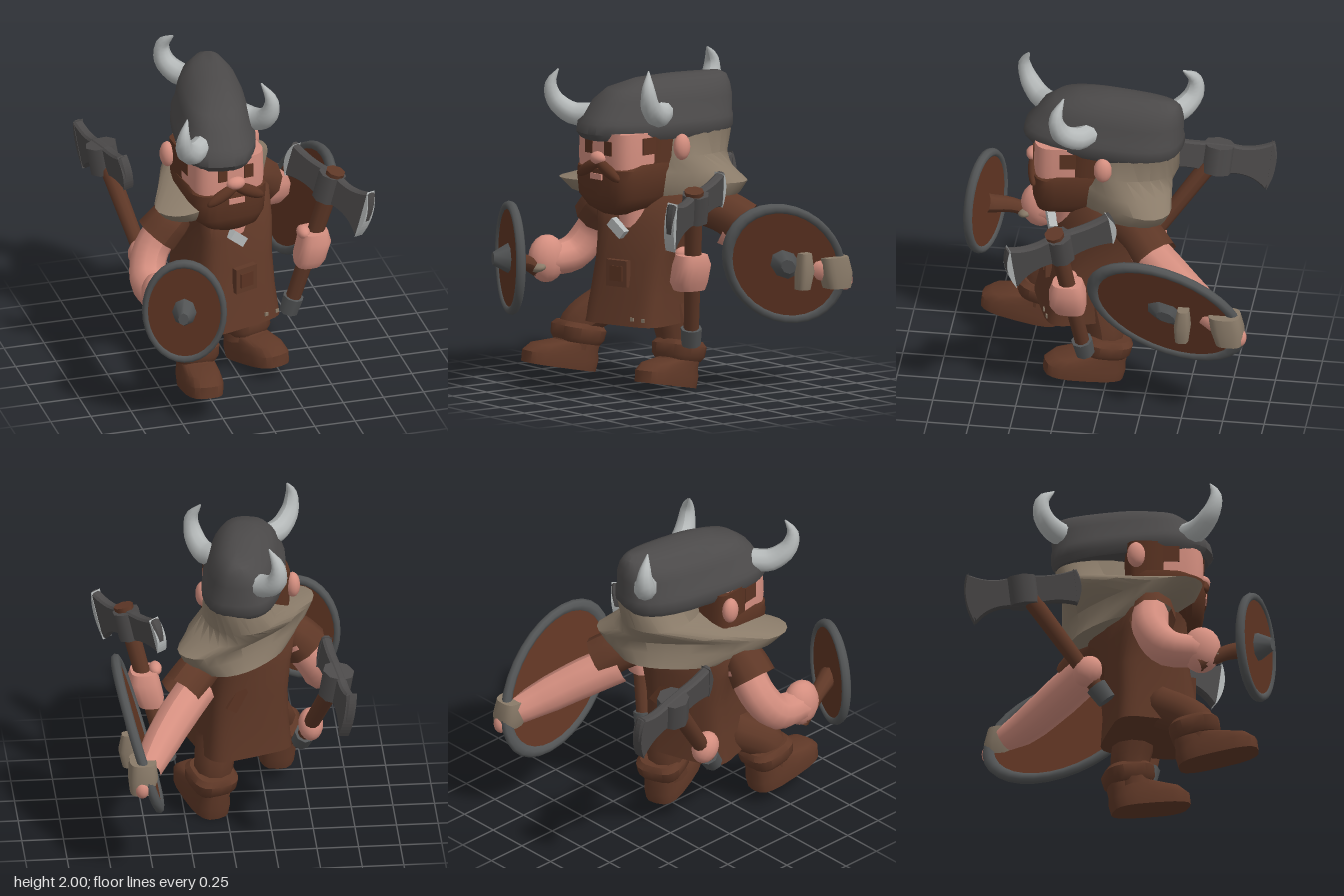
import * as THREE from 'three';
import { toCreasedNormals } from 'three/addons/utils/BufferGeometryUtils.js';

const V = (a) => new THREE.Vector3(...a);

export function createModel() {
  const model = new THREE.Group();
  const paint = (name, color) => {
    const m = new THREE.MeshStandardMaterial({ color });
    m.name = name;
    return m;
  };
  const leather = paint('leather', 0x5f3827);
  leather.side = THREE.DoubleSide;
  const hair = paint('hair', 0x5a3322);
  const skin = paint('skin', 0xd58f80);
  const iron = paint('dark iron', 0x4c4a4a);
  const rimGrey = paint('rim grey', 0x525455);
  const steel = paint('steel', 0xb4b8b8);
  const cloth = paint('cloth', 0x8a7b69);
  const wood = paint('shield wood', 0x5e3422);

  const add = (parent, name, geo, mat, pos = [0, 0, 0], rot = [0, 0, 0], scale = [1, 1, 1]) => {
    const m = new THREE.Mesh(geo, mat);
    m.name = name;
    m.position.set(...pos);
    m.rotation.set(...rot);
    m.scale.set(...scale);
    parent.add(m);
  };
  const group = (parent, name, pos = [0, 0, 0], rot = [0, 0, 0]) => {
    const g = new THREE.Group();
    g.name = name;
    g.position.set(...pos);
    g.rotation.set(...rot);
    parent.add(g);
    return g;
  };
  // Aim a group's x and y axes
  const aim = (g, x, y) => {
    const X = V(x).normalize(), Z = X.clone().cross(V(y)).normalize(), Y = Z.clone().cross(X);
    g.setRotationFromMatrix(new THREE.Matrix4().makeBasis(X, Y, Z));
  };
  // Skin over rings [y, x, z, rx, rz, yaw], bottom to top; p sets how square they are
  const loft = (rings, p = 2.5, n = 20) => {
    const pos = [], idx = [];
    const pw = (v) => Math.sign(v) * Math.abs(v) ** (2 / p);
    for (const [y, x, z, rx, rz, yaw = 0] of rings) {
      for (let i = 0; i < n; i++) {
        const a = (i / n) * Math.PI * 2, u = rx * pw(Math.cos(a)), w = rz * pw(Math.sin(a));
        pos.push(x + u * Math.cos(yaw) + w * Math.sin(yaw), y, z - u * Math.sin(yaw) + w * Math.cos(yaw));
      }
    }
    const last = rings.length - 1, c = pos.length / 3;
    pos.push(rings[0][1], rings[0][0], rings[0][2], rings[last][1], rings[last][0], rings[last][2]);
    for (let i = 0; i < n; i++) {
      const j = (i + 1) % n;
      for (let r = 0; r < last; r++) {
        const a = r * n + i, b = r * n + j;
        idx.push(b, a, a + n, b, a + n, b + n);
      }
      idx.push(c, i, j, c + 1, last * n + j, last * n + i);
    }
    const g = new THREE.BufferGeometry();
    g.setAttribute('position', new THREE.Float32BufferAttribute(pos, 3));
    // Cap centres take the ring's own x, y, z
    g.attributes.position.setXYZ(c, rings[0][1], rings[0][0], rings[0][2]);
    g.attributes.position.setXYZ(c + 1, rings[last][1], rings[last][0], rings[last][2]);
    g.setIndex(idx);
    return toCreasedNormals(g, 0.8);
  };
  // Tube along points with a radius that changes from end to end
  const taper = (pts, radii, seg = 12, sides = 10) => {
    const curve = new THREE.CatmullRomCurve3(pts.map(V));
    const g = new THREE.TubeGeometry(curve, seg, 1, sides);
    const p = g.attributes.position, v = new THREE.Vector3();
    for (let k = 0; k < p.count; k++) {
      const t = Math.floor(k / (sides + 1)) / seg, f = t * (radii.length - 1);
      const i = Math.min(Math.floor(f), radii.length - 2);
      const c = curve.getPointAt(t);
      v.fromBufferAttribute(p, k).sub(c).multiplyScalar(THREE.MathUtils.lerp(radii[i], radii[i + 1], f - i)).add(c);
      p.setXYZ(k, v.x, v.y, v.z);
    }
    g.computeVertexNormals();
    return g;
  };
  const ball = new THREE.SphereGeometry(1, 14, 10);
  const box = (x, y, z) => new THREE.BoxGeometry(x, y, z);

  // Tunic and its front details
  add(model, 'tunic', loft([
    [0.42, -0.08, 0.165, 0.28, 0.275, 0.33], [0.6, -0.08, 0.15, 0.265, 0.25, 0.33],
    [0.8, -0.08, 0.125, 0.26, 0.235, 0.36], [1.0, -0.08, 0.1, 0.28, 0.225, 0.5],
    [1.14, -0.09, 0.07, 0.33, 0.2, 0.65], [1.22, -0.1, 0.05, 0.26, 0.15, 0.7]], 5, 28), leather);
  const front = group(model, 'tunicFront', [-0.08, 0, 0.13], [0, 0.35, 0]);
  add(front, 'buckle', box(0.15, 0.16, 0.04), leather, [-0.02, 0.73, 0.265]);
  add(front, 'buckleCentre', box(0.09, 0.09, 0.01), hair, [-0.02, 0.73, 0.287]);
  add(front, 'brooch', box(0.12, 0.06, 0.05), steel, [-0.05, 0.995, 0.225], [0, 0, -0.7]);
  for (const x of [0.11, 0.19]) add(front, 'hemStud', box(0.022, 0.022, 0.008), cloth, [x, 0.465, 0.307]);
  add(front, 'strap', box(0.08, 0.5, 0.02), hair, [0.02, 0.98, -0.23], [0, 0.12, 0.6]);
  add(model, 'neck', loft([[1.0, -0.06, 0.2, 0.1, 0.13], [1.25, -0.08, 0.2, 0.14, 0.14]]), skin);

  // Cape with a point over each shoulder
  add(model, 'cape', loft([
    [1.1, -0.08, -0.04, 0.34, 0.2, 0.8], [1.19, -0.11, 0.04, 0.51, 0.21, 0.8],
    [1.26, -0.12, 0.05, 0.57, 0.21, 0.8], [1.33, -0.09, -0.05, 0.38, 0.25, 0.75],
    [1.42, -0.06, -0.15, 0.21, 0.26, 0.2], [1.6, -0.03, -0.16, 0.18, 0.26, -0.1]], 2.3, 28), cloth);

  // Head and face
  const head = group(model, 'head', [-0.13, 0, 0.24], [0, 0.13, 0]);
  add(head, 'face', loft([[1.3, 0, 0, 0.225, 0.225], [1.42, 0, 0, 0.235, 0.235], [1.58, 0, 0, 0.23, 0.23]], 4.5, 28), skin);
  add(head, 'backHair', loft([[1.22, 0, -0.1, 0.235, 0.13], [1.58, 0, -0.1, 0.243, 0.14]], 5), hair);
  add(head, 'beard', loft([
    [1.08, 0.03, 0.08, 0.08, 0.09], [1.12, 0.02, 0.05, 0.17, 0.17], [1.19, 0, 0.01, 0.24, 0.23],
    [1.3, 0, 0, 0.25, 0.25], [1.36, 0, 0, 0.25, 0.245], [1.39, 0, -0.03, 0.24, 0.2]], 3.8, 28), hair);
  add(head, 'mouth', box(0.1, 0.035, 0.009), skin, [0.01, 1.315, 0.254]);
  add(head, 'nose', ball, skin, [0.01, 1.425, 0.235], [0, 0, 0], [0.06, 0.04, 0.045]);
  for (const s of [-1, 1]) {
    add(head, 'moustache', ball, hair, [0.01 + s * 0.08, 1.36, 0.235], [0, 0, -s * 0.5], [0.12, 0.038, 0.034]);
    add(head, 'eye', box(0.06, 0.085, 0.008), hair, [0.01 + s * 0.085, 1.49, 0.235]);
    add(head, 'sideburn', box(0.008, 0.1, 0.1), hair, [s * 0.236, 1.5, 0.03]);
    add(head, 'ear', ball, skin, [0.02 + s * 0.275, 1.48, -0.18], [0, 0, 0], [0.045, 0.08, 0.055]);
  }

  // Long cap helmet with three horns
  const helmet = group(model, 'helmet', [-0.1, 0, 0], [0, -0.17, 0]);
  add(helmet, 'helmetShell', loft([
    [1.53, 0, 0.05, 0.225, 0.46], [1.57, 0, 0.05, 0.245, 0.49], [1.63, 0, 0.045, 0.242, 0.485],
    [1.66, 0, 0.03, 0.222, 0.465], [1.75, 0, 0.0, 0.2, 0.44], [1.82, 0, -0.04, 0.165, 0.39],
    [1.87, 0.01, -0.11, 0.1, 0.3], [1.89, 0.02, -0.18, 0.045, 0.19]], 2.7, 28), iron);
  const horn = (pts) => add(model, 'horn', taper(pts, [0.068, 0.07, 0.06, 0.04, 0.004], 14), steel);
  horn([[-0.27, 1.66, 0.38], [-0.36, 1.66, 0.47], [-0.43, 1.74, 0.55], [-0.44, 1.84, 0.575], [-0.41, 1.93, 0.54]]);
  horn([[0.05, 1.69, 0.1], [0.12, 1.68, 0.18], [0.17, 1.74, 0.27], [0.185, 1.85, 0.3], [0.13, 1.96, 0.26]]);
  horn([[-0.13, 1.74, -0.34], [-0.2, 1.75, -0.41], [-0.26, 1.81, -0.47], [-0.27, 1.91, -0.48], [-0.22, 2.0, -0.41]]);

  // Arms, sleeves and hands
  add(model, 'rightSleeve', taper([[-0.33, 1.16, 0.18], [-0.43, 1.08, 0.2], [-0.5, 1.0, 0.2]], [0.1, 0.13, 0.14]), leather);
  add(model, 'rightArm', taper([[-0.42, 1.08, 0.18], [-0.54, 0.9, 0.2], [-0.59, 0.77, 0.3], [-0.59, 0.74, 0.5]], [0.11, 0.11, 0.11, 0.095]), skin);
  add(model, 'rightHand', ball, skin, [-0.59, 0.75, 0.5], [0, 0, 0], [0.095, 0.145, 0.12]);
  add(model, 'rightWristband', ball, cloth, [-0.57, 0.71, 0.585], [0.3, 0, 0], [0.07, 0.03, 0.05]);
  add(model, 'shieldGrip', taper([[-0.62, 0.64, 0.48], [-0.57, 0.74, 0.66], [-0.51, 0.78, 0.81]], [0.045, 0.045, 0.06]), leather);
  add(model, 'leftSleeve', taper([[0.1, 1.13, -0.1], [0.22, 1.07, -0.24], [0.3, 1.0, -0.32]], [0.12, 0.13, 0.14]), leather);
  add(model, 'leftArm', taper([[0.2, 0.99, -0.25], [0.34, 0.89, -0.43], [0.46, 0.79, -0.61], [0.54, 0.72, -0.76]], [0.12, 0.12, 0.11, 0.085]), skin);
  add(model, 'leftCuff', loft([[0.61, 0.58, -0.8, 0.07, 0.08], [0.7, 0.57, -0.79, 0.09, 0.1],
    [0.8, 0.57, -0.77, 0.08, 0.095]], 3), cloth);
  add(model, 'leftHand', ball, skin, [0.58, 0.65, -0.86], [0, 0, 0], [0.045, 0.06, 0.045]);
  add(model, 'shieldStrap', loft([[0.63, 0.62, -0.52, 0.05, 0.04], [0.74, 0.635, -0.525, 0.06, 0.05],
    [0.85, 0.63, -0.53, 0.045, 0.035]], 3), cloth);

  // Oval shields: a and b are half the width and height
  const shield = (name, pos, x, y, a, b, boss, wide) => {
    const g = group(model, name, pos);
    aim(g, x, y);
    const disc = new THREE.CylinderGeometry(0.93, 0.93, 0.03, 32).rotateX(Math.PI / 2);
    add(g, 'shieldBoard', disc, wood, [0, 0, 0], [0, 0, 0], [a, b, 1]);
    add(g, 'shieldRim', new THREE.TorusGeometry(0.92, 0.08, 8, 32), rimGrey, [0, 0, 0], [0, 0, 0], [a, b, 0.38]);
    add(g, 'shieldBoss', new THREE.CylinderGeometry(0.04, 0.1, boss, 8).rotateX(Math.PI / 2), rimGrey, [0, 0, boss / 2], [0, 0, 0], [wide, 1, 1]);
  };
  shield('rightShield', [-0.51, 0.795, 0.82], [0.94, 0, 0.33], [0, 1, 0], 0.255, 0.345, 0.11, 0.8);
  shield('leftShield', [0.57, 0.79, -0.42], [0.17, 0.56, 0.83], [-0.25, -0.79, 0.58], 0.53, 0.34, 0.05, 1.6);

  // Double-headed axes
  const axe = (name, foot, top, hub, dir, edge, size, hubSize) => {
    const g = group(model, name), up = V(top).sub(V(foot));
    add(g, 'axeHandle', taper([foot, V(foot).lerp(V(top), 0.5).toArray(), top], [0.045, 0.055]), leather);
    const end = (n, at, h, r, mat) => {
      const e = group(g, n, at);
      e.quaternion.setFromUnitVectors(V([0, 1, 0]), up.clone().normalize());
      add(e, n + 'Cap', new THREE.CylinderGeometry(r, r * 0.9, h, 8), mat);
    };
    end('pommel', foot, 0.11, 0.065, rimGrey);
    end('handleTop', top, 0.06, 0.06, leather);
    const blade = group(g, 'axeHead', hub);
    aim(blade, dir, up.toArray());
    blade.scale.setScalar(size);
    const s = new THREE.Shape();
    s.moveTo(0.08, 0.085);
    s.quadraticCurveTo(0.2, 0.06, 0.33, 0.13);
    s.quadraticCurveTo(0.38, 0, 0.31, -0.16);
    s.quadraticCurveTo(0.22, -0.07, 0.08, -0.085);
    s.lineTo(-0.08, -0.085);
    s.quadraticCurveTo(-0.2, -0.06, -0.32, -0.1);
    s.quadraticCurveTo(-0.38, 0, -0.34, 0.1);
    s.quadraticCurveTo(-0.22, 0.07, -0.08, 0.085);
    const bevel = { depth: 0.03, bevelThickness: 0.015, bevelSize: 0.01, bevelSegments: 1 };
    add(blade, 'axeBlades', new THREE.ExtrudeGeometry(s, bevel).translate(0, 0, -0.015), iron);
    add(blade, 'axeHub', new THREE.CylinderGeometry(hubSize, hubSize, 0.18, 8), iron);
    // Ground edges: outer x, side, top, bottom
    for (const [x, side, hi, lo] of [[0.32, 1, 0.145, -0.175], [0.325, -1, 0.112, -0.112]]) {
      const cut = new THREE.Shape();
      cut.moveTo(side * x, hi);
      cut.quadraticCurveTo(side * (x + 0.075), 0, side * x, lo);
      cut.quadraticCurveTo(side * (x + 0.005), 0, side * x, hi);
      add(blade, 'cuttingEdge', new THREE.ExtrudeGeometry(cut, { depth: 0.066, bevelEnabled: false }).translate(0, 0, -0.033), edge);
    }
  };
  axe('leftAxe', [0.36, 0.37, 0.11], [0.59, 1.27, 0.25], [0.565, 1.19, 0.225], [0.47, -0.2, 0.88], steel, 0.98, 0.085);
  axe('rightAxe', [-0.45, 0.55, -0.11], [-0.61, 1.17, -0.56], [-0.61, 1.16, -0.57], [-0.14, -0.13, -0.97], iron, 0.97, 0.1);
  add(model, 'leftAxeHand', loft([[0.67, 0.44, 0.18, 0.075, 0.09], [0.72, 0.45, 0.19, 0.09, 0.11],
    [0.83, 0.48, 0.19, 0.095, 0.11], [0.89, 0.48, 0.19, 0.08, 0.09]], 3), skin);
  add(model, 'leftAxeThumb', ball, skin, [0.41, 0.89, 0.2], [0, 0, 0], [0.04, 0.04, 0.06]);
  add(model, 'rightAxeHand', ball, skin, [-0.49, 0.68, -0.19], [0.5, 0, 0], [0.075, 0.1, 0.085]);

  // Legs and cuffed boots
  const boot = (name, pos, yaw, hip) => {
    add(model, name + 'Leg', taper([[pos[0], pos[1] + 0.14, pos[2] + 0.08], [pos[0], pos[1] + 0.28, pos[2] + 0.05], hip], [0.11, 0.12, 0.13]), leather);
    const g = group(model, name + 'Boot', pos, [-0.2, yaw, 0]);
    g.rotation.order = 'YXZ';
    add(g, 'foot', loft([[0, 0, 0.19, 0.115, 0.245], [0.07, 0, 0.19, 0.12, 0.25], [0.12, 0, 0.17, 0.11, 0.22],
      [0.16, 0, 0.09, 0.105, 0.14], [0.24, 0, 0.08, 0.1, 0.11]], 3), leather);
    add(g, 'bootCuff', loft([[0.16, 0, 0.09, 0.12, 0.13], [0.19, 0, 0.09, 0.14, 0.15],
      [0.25, 0, 0.09, 0.145, 0.155], [0.28, 0, 0.09, 0.12, 0.13]], 3), leather);
  };
  boot('left', [0.075, 0.01, -0.03], 0.36, [0.05, 0.52, 0.06]);
  boot('right', [-0.34, 0.1, 0.4], -0.03, [-0.24, 0.55, 0.22]);
  return model;
}
